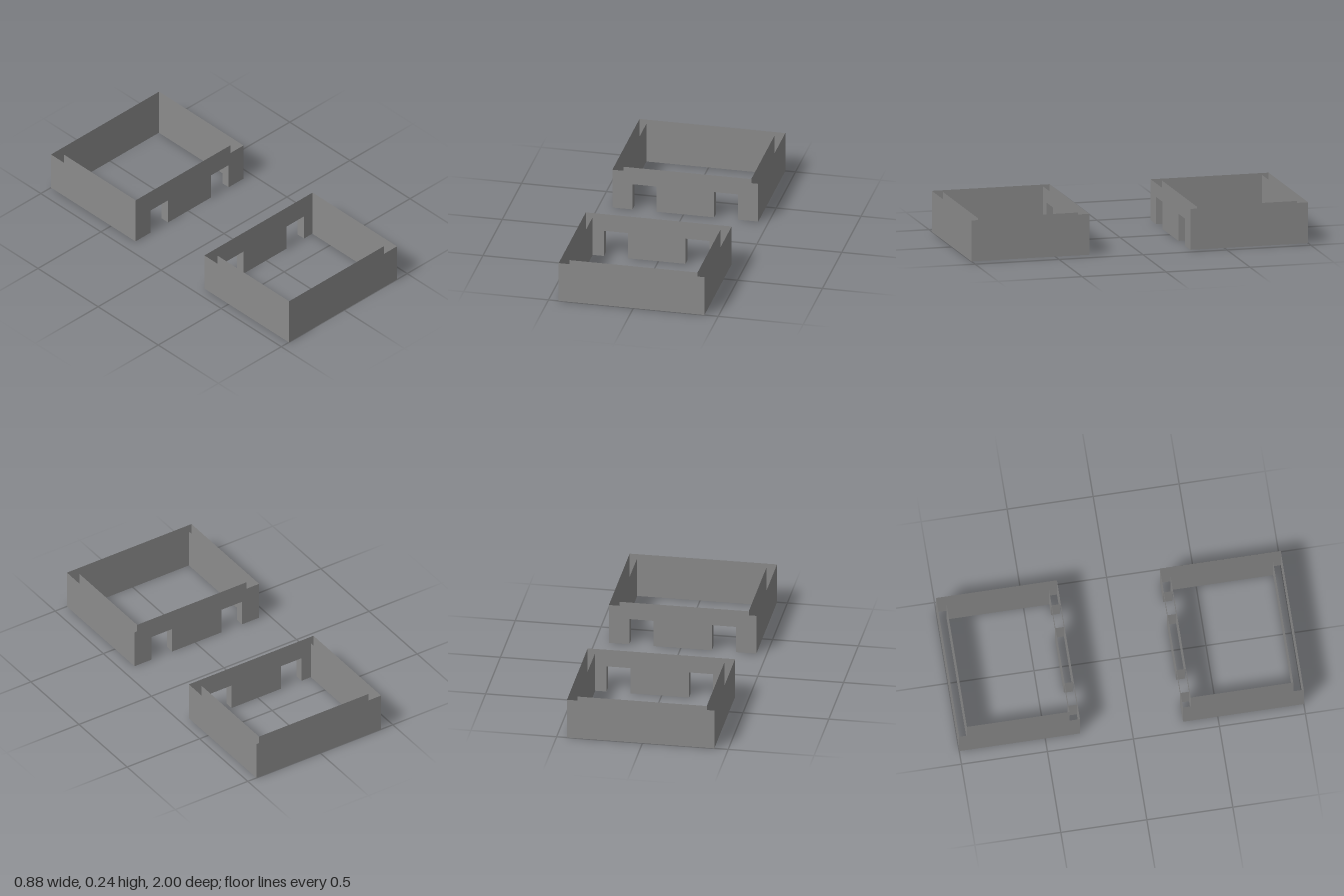
import * as THREE from 'three';

const W = 0.859, D = 0.702, H = 0.24, T = 0.053;   // ring size and wall thickness
const NOTCH_IN = 0.17, NOTCH_OUT = 0.311, NOTCH_H = 0.16;   // doorway extents

const material = new THREE.MeshStandardMaterial({
  color: 0x8c8c8c, side: THREE.DoubleSide, flatShading: true,
});

// Upright panel standing on y = 0, centred at (x, z), turned to face the given angle
function panel(name, width, x, z, angle, notched = false) {
  const h = width / 2;
  const pts = [[-h, 0]];
  if (notched) {
    for (const [a, b] of [[-NOTCH_OUT, -NOTCH_IN], [NOTCH_IN, NOTCH_OUT]]) {
      pts.push([a, 0], [a, NOTCH_H], [b, NOTCH_H], [b, 0]);
    }
  }
  pts.push([h, 0], [h, H], [-h, H]);
  const shape = new THREE.Shape(pts.map(([px, py]) => new THREE.Vector2(px, py)));
  const mesh = new THREE.Mesh(new THREE.ShapeGeometry(shape), material);
  mesh.name = name;
  mesh.position.set(x, 0, z);
  mesh.rotation.y = angle;
  return mesh;
}

// Four-sided skin; flip turns the faces toward the middle
function skin(name, w, d, flip) {
  const g = new THREE.Group();
  g.name = name;
  const turn = flip ? Math.PI : 0;
  g.add(
    panel('notchedWall', w, 0, d / 2, turn, true),
    panel('plainWall', w, 0, -d / 2, Math.PI + turn),
    panel('leftWall', d, w / 2, 0, Math.PI / 2 + turn),
    panel('rightWall', d, -w / 2, 0, -Math.PI / 2 + turn),
  );
  return g;
}

// Hollow rectangular wall ring, open above and below, with two doorways on +z
function wallRing(name) {
  const g = new THREE.Group();
  g.name = name;
  g.add(skin('outerSkin', W, D, false), skin('innerSkin', W - 2 * T, D - 2 * T, true));
  // Side cheeks of the doorways
  for (const s of [-1, 1]) {
    for (const [x, facing] of [[NOTCH_IN, 1], [NOTCH_OUT, -1]]) {
      const cheek = new THREE.Mesh(new THREE.PlaneGeometry(T, NOTCH_H), material);
      cheek.name = 'doorwayCheek';
      cheek.position.set(s * x, NOTCH_H / 2, D / 2 - T / 2);
      cheek.rotation.y = s * facing * Math.PI / 2;
      g.add(cheek);
    }
  }
  return g;
}

export function createModel() {
  const model = new THREE.Group();
  model.name = 'facingWallRings';

  // Two rings with their doorways facing each other, slightly staggered in x
  const back = wallRing('backRing');
  back.position.set(0.0105, 0, D / 2 - 1);
  const front = wallRing('frontRing');
  front.position.set(-0.0105, 0, 1 - D / 2);
  front.rotation.y = Math.PI;

  model.add(back, front);
  return model;
}
